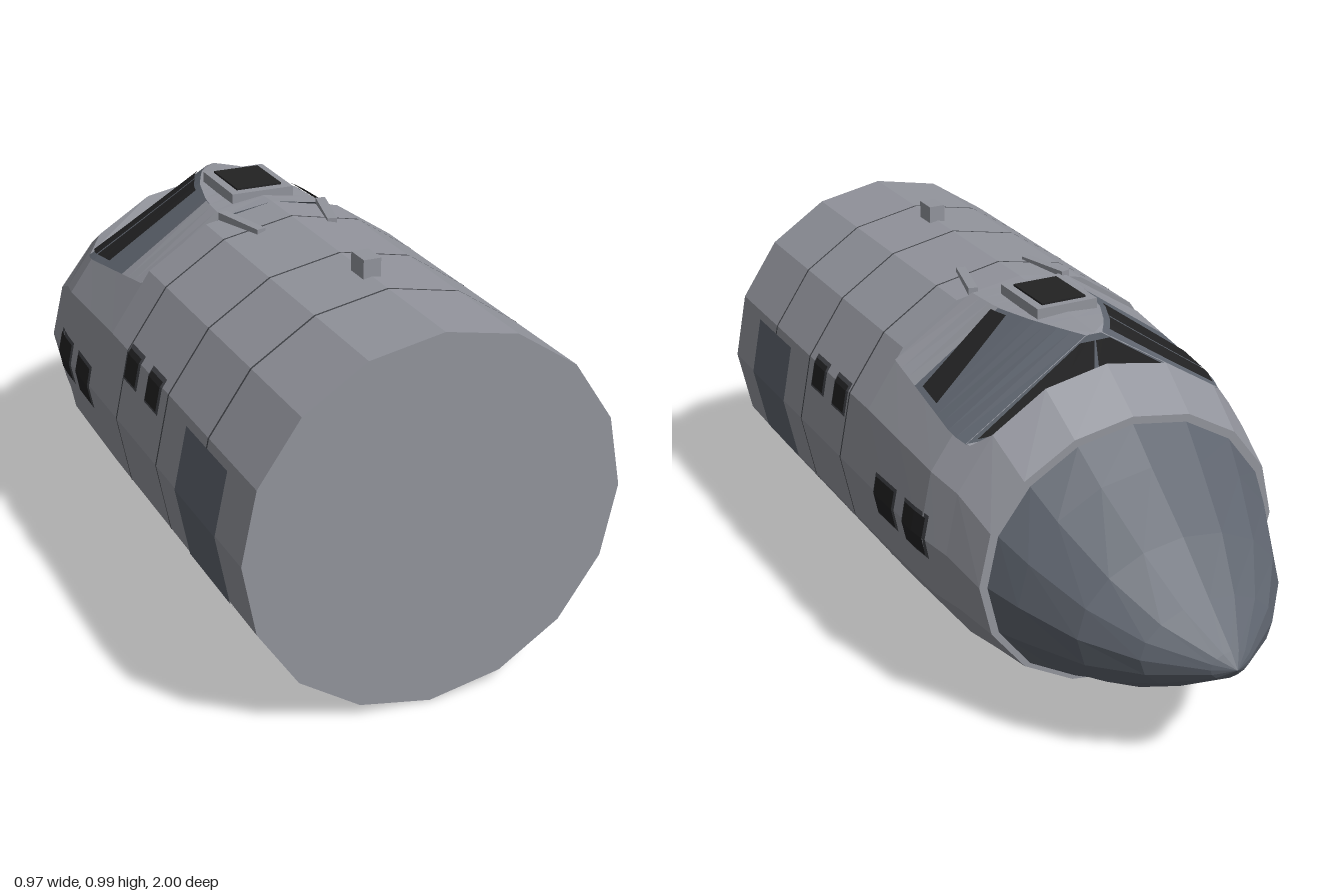
import * as THREE from 'three';

const mat = (name, color, side = THREE.FrontSide) => {
  const m = new THREE.MeshStandardMaterial({ color, side });
  m.name = name;
  return m;
};
const lerp = THREE.MathUtils.lerp;

// Piecewise-linear lookup: rows start with z, in falling order
function sample(rows, z) {
  for (let i = 0; i < rows.length - 1; i++) {
    const a = rows[i], b = rows[i + 1];
    if (z >= b[0] || i === rows.length - 2) {
      const f = THREE.MathUtils.clamp((z - a[0]) / (b[0] - a[0]), 0, 1);
      return a.slice(1).map((v, k) => lerp(v, b[k + 1], f));
    }
  }
}

// z, centre height, half width, half height
const HULL = [[1, .476, .48, .471], [.08, .476, .48, .471], [-.28, .462, .47, .445],
  [-.38, .45, .445, .42], [-.51, .4175, .42, .3625]];
const NOSE = [[-.51, .412, .398, .348], [-.6, .395, .362, .288], [-.75, .365, .285, .2],
  [-.87, .345, .185, .113], [-.97, .335, .055, .036], [-1, .335, 0, 0]];
// z, x and y of the upper edge of the cockpit side panel
const UPPER = [[.08, .14, .925], [-.05, .13, .925], [-.17, .1, .93], [-.26, .06, .93], [-.32, .02, .925]];

const SIDES = 16;
function ring(z, [cy, rx, ry], scale = 1) {
  return Array.from({ length: SIDES }, (_, k) => {
    const a = k / SIDES * Math.PI * 2;
    return new THREE.Vector3(rx * scale * Math.sin(a), cy + ry * scale * Math.cos(a), z);
  });
}
const hullRing = (z, scale) => ring(z, sample(HULL, z), scale);

// Hull half width at a given station and height
function hullX(z, y) {
  const r = hullRing(z);
  for (let k = 0; k < 8; k++) {
    if (y <= r[k].y && y >= r[k + 1].y) {
      return lerp(r[k].x, r[k + 1].x, (r[k].y - y) / (r[k].y - r[k + 1].y));
    }
  }
  return 0;
}

// Height of the cockpit sill, and the hull ring cut down to it
const sill = z => .78 + (z - .08) * .07 / .42;
function cutRing(z) {
  const r = hullRing(z), y = sill(z), x = hullX(z, y);
  [[14, -x], [15, -x / 2], [0, 0], [1, x / 2], [2, x]].forEach(([k, px]) => r[k].set(px, y, z));
  return r;
}

function facets(tris) {
  const good = tris.filter(t => new THREE.Triangle(...t).getArea() > 1e-9);
  const g = new THREE.BufferGeometry().setFromPoints(good.flat());
  g.computeVertexNormals();
  return g;
}
// Closed loops running from +z to -z, flat shaded
function loft(rings) {
  const t = [];
  for (let i = 0; i < rings.length - 1; i++) {
    for (let k = 0; k < SIDES; k++) {
      const n = (k + 1) % SIDES;
      const a = rings[i][k], b = rings[i][n], c = rings[i + 1][n], d = rings[i + 1][k];
      t.push([a, b, c], [a, c, d]);
    }
  }
  return facets(t);
}
// Sheet from fn(u, v); flip turns the faces round
function sheet(fn, us, vs, flip) {
  const t = [];
  for (let i = 0; i < us.length - 1; i++) {
    for (let j = 0; j < vs.length - 1; j++) {
      const a = fn(us[i], vs[j]), b = fn(us[i + 1], vs[j]);
      const c = fn(us[i + 1], vs[j + 1]), d = fn(us[i], vs[j + 1]);
      t.push(...(flip ? [[a, c, b], [a, d, c]] : [[a, b, c], [a, c, d]]));
    }
  }
  return facets(t);
}
const steps = (n, a = 0, b = 1) => Array.from({ length: n + 1 }, (_, i) => lerp(a, b, i / n));

// Point on the sloping cockpit side: t runs from sill to roof edge
function panel(s, z, t, off = 0) {
  const y = sill(z), x = hullX(z, y) + .004, [ux, uy] = sample(UPPER, z);
  return new THREE.Vector3(s * (lerp(x, ux, t) + off * .5), lerp(y, uy, t) + off * .86, z);
}

export function createModel() {
  const model = new THREE.Group();
  const hull = mat('hull grey', 0x92949c);
  const slate = mat('slate grey', 0x5e646e, THREE.DoubleSide);
  const glass = mat('dark glass', 0x222223, THREE.DoubleSide);
  const trim = mat('dark trim', 0x45474c, THREE.DoubleSide);
  const add = (name, geo, m) => {
    const mesh = new THREE.Mesh(geo, m);
    mesh.name = name;
    model.add(mesh);
    return mesh;
  };
  const box = (name, m, w, h, d, x, y, z) => {
    const b = add(name, new THREE.BoxGeometry(w, h, d), m);
    b.position.set(x, y, z);
    return b;
  };
  const point = (y, z) => Array.from({ length: SIDES }, () => new THREE.Vector3(0, y, z));

  // Fuselage with the cockpit cut-out, closed at both ends
  add('fuselage', loft([point(.476, 1), hullRing(1), hullRing(.08), cutRing(.08), cutRing(-.1),
    cutRing(-.28), cutRing(-.34), hullRing(-.38), hullRing(-.51), point(.4175, -.51)]), hull);

  // Nose cone
  add('noseCone', loft(NOSE.map(([z, ...s]) => ring(z, s))), slate);

  // Skin seams
  for (const z of [.73, .48, .2]) {
    add('seam', loft([hullRing(z + .003, 1.002), hullRing(z - .003, 1.002)]), trim);
  }

  for (const s of [1, -1]) {
    const flip = s < 0;

    // Plates that follow the fuselage side
    const plate = (name, m, z0, z1, y0, y1, off) => {
      const bends = hullRing((z0 + z1) / 2).slice(1, 8).map(p => p.y).filter(y => y > y0 && y < y1);
      const ys = [y0, ...bends, y1].sort((a, b) => a - b);
      add(name, sheet((z, y) => new THREE.Vector3(s * (hullX(z, y) + off), y, z),
        steps(2, z1, z0), ys, flip), m);
    };
    plate('door', slate, .61, .855, .285, .635, .003);
    for (const [z, y, w, h] of [[.397, .632, .09, .09], [.252, .632, .09, .09],
      [-.078, .465, .12, .12], [-.243, .465, .12, .12]]) {
      plate('windowFrame', trim, z - w / 2, z + w / 2, y - h / 2, y + h / 2, .003);
      plate('window', glass, z - w / 2 + .008, z + w / 2 - .008, y - h / 2 + .008, y + h / 2 - .008, .006);
    }

    // Cockpit side panels and roof
    add('cockpitAftPanel', sheet((z, t) => panel(s, z, t), steps(3, .08, -.05), [0, 1], flip), hull);
    add('cockpitSidePanel', sheet((u, t) => panel(s, lerp(-.05, lerp(-.33, -.315, t), u), t),
      steps(8), [0, 1], flip), slate);
    add('cockpitRoof', sheet((z, v) => {
      const [x, y] = sample(UPPER, z);
      return new THREE.Vector3(s * x * (1 - v), lerp(y, lerp(.93, .947, (z + .32) / .4), v), z);
    }, steps(8, .08, -.318), [0, 1], flip), hull);

    // Side glass: one pane on the left, two on the right
    const panes = s > 0 ? [[-.08, -.165, -.04, -.1]]
      : [[-.165, -.258, -.14, -.225], [-.266, -.326, -.232, -.298]];
    for (const [o0, o1, i0, i1] of panes) {
      add('sideWindscreen', sheet((u, v) => {
        const t = lerp(.05, .95, v);
        return panel(s, lerp(lerp(o0, o1, u), lerp(i0, i1, u), v), t, .006);
      }, steps(3), steps(4), flip), glass);
    }

    // Front windscreen
    const rimX = hullX(-.33, sill(-.33)) + .004;
    const front = off => (u, v) => new THREE.Vector3(s * u * lerp(rimX, .02, v),
      lerp(.71, .925, v), lerp(lerp(-.345, -.33, u), -.315, v) - off);
    add('windscreenFrame', sheet(front(0), steps(2), steps(3), !flip), slate);
    add('windscreen', sheet(front(.005), steps(2, .04, .96), steps(3, .05, .93), !flip), glass);

    // Fairing tails behind the roof
    const tail = box('roofFairing', hull, .025, .02, .16, s * .117, .928, .155);
    tail.rotation.y = -s * .25;
  }

  // Roof hatch and aerial
  box('hatchFrame', hull, .17, .03, .2, 0, .943, -.08);
  box('hatchGlass', glass, .125, .006, .155, 0, .96, -.083);
  box('aerial', hull, .045, .06, .065, 0, .96, .615);

  return model;
}
